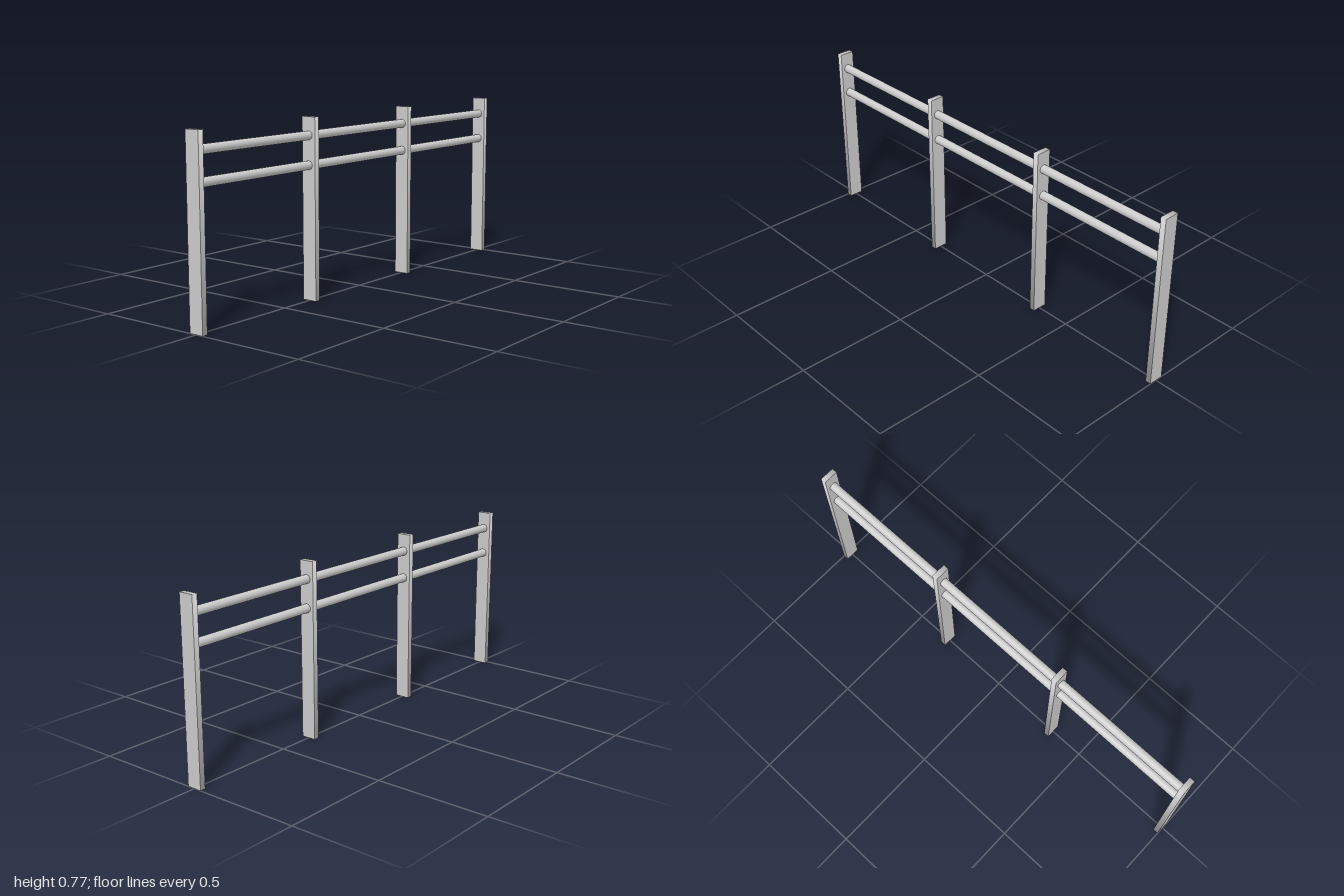
import * as THREE from 'three';

const HEIGHT = 0.77, POST_W = 0.025, POST_D = 0.067, END_X = 0.9875;

// Post: flat left and right faces, soft shading around the narrow faces
function postGeometry() {
  const g = new THREE.BoxGeometry(POST_W, HEIGHT, POST_D);
  const p = g.attributes.position, n = g.attributes.normal;
  for (let i = 8; i < p.count; i++) {
    const s = Math.SQRT1_2;
    n.setXYZ(i, 0, Math.sign(p.getY(i)) * s, Math.sign(p.getZ(i)) * s);
  }
  return g;
}

export function createModel() {
  const model = new THREE.Group();
  model.name = 'railFence';
  const metal = new THREE.MeshStandardMaterial({ color: 0xcccccc });
  metal.name = 'lightGrey';

  // Four evenly spaced flat posts
  const postGeo = postGeometry();
  for (let i = 0; i < 4; i++) {
    const post = new THREE.Mesh(postGeo, metal);
    post.name = `post${i + 1}`;
    post.position.set(-END_X + (i * 2 * END_X) / 3, HEIGHT / 2, 0);
    model.add(post);
  }

  // Two round rails running through the posts
  const railGeo = new THREE.CylinderGeometry(0.019, 0.019, 2 * END_X, 24);
  railGeo.rotateZ(Math.PI / 2);
  for (const [name, y] of [['upperRail', 0.693], ['lowerRail', 0.57]]) {
    const rail = new THREE.Mesh(railGeo, metal);
    rail.name = name;
    rail.position.y = y;
    model.add(rail);
  }
  return model;
}
